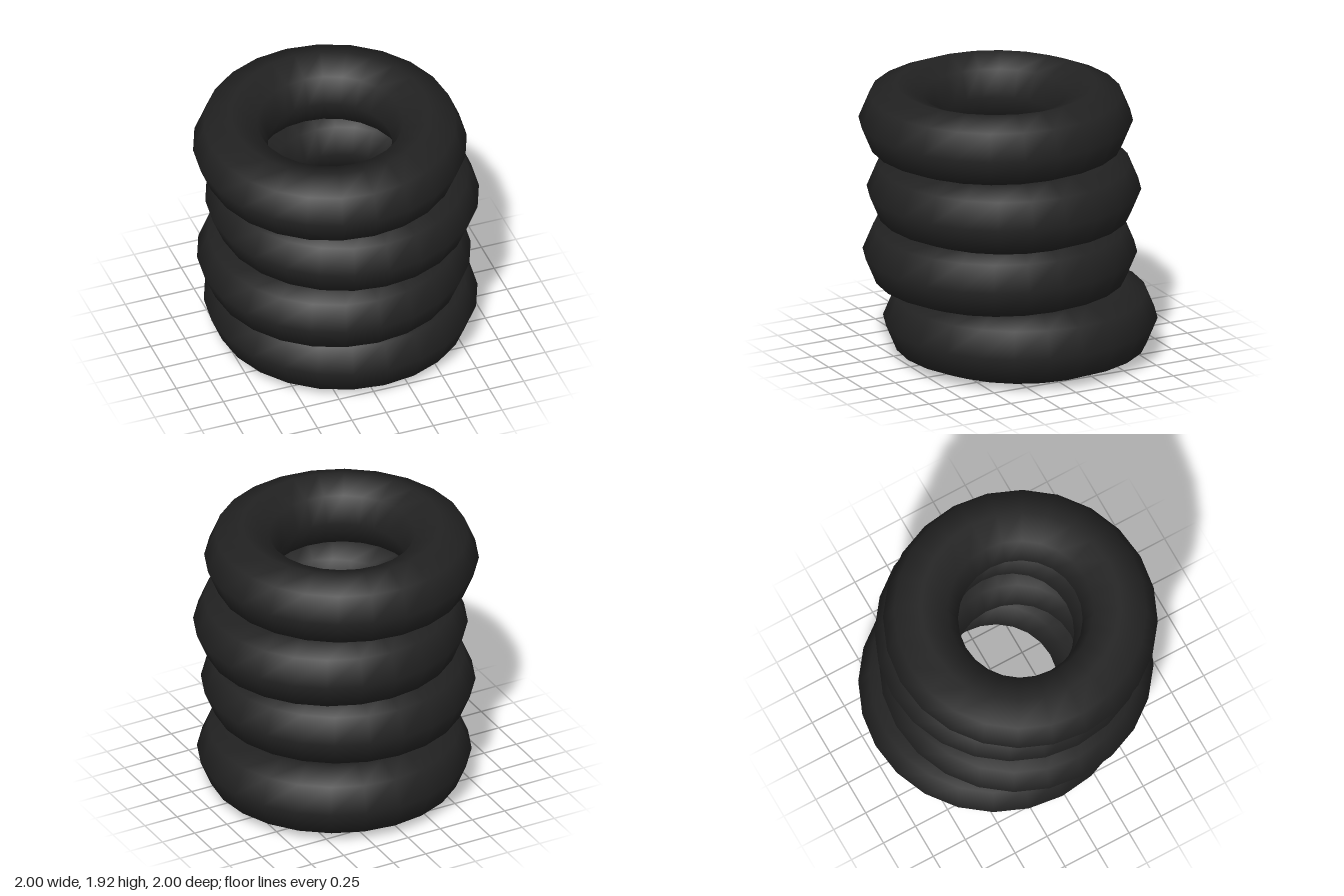
import * as THREE from 'three';

export function createModel() {
  const group = new THREE.Group();
  group.name = 'tyreStack';
  const rubber = new THREE.MeshStandardMaterial({ color: 0x222222 });
  rubber.name = 'black rubber';

  // One tyre lying flat: an eight-sided tube swept around 24 steps
  const tyre = new THREE.TorusGeometry(0.682, 0.256, 8, 24);
  tyre.rotateX(-Math.PI / 2);

  // Centres from bottom to top, each tyre slightly off the axis
  const centres = [
    [0.062, 0.257, -0.062],
    [-0.028, 0.727, 0.048],
    [0.032, 1.197, 0.048],
    [-0.062, 1.667, 0.062],
  ];
  centres.forEach((c, i) => {
    const mesh = new THREE.Mesh(tyre, rubber);
    mesh.name = `tyre${i + 1}`;
    mesh.position.set(...c);
    group.add(mesh);
  });
  return group;
}
